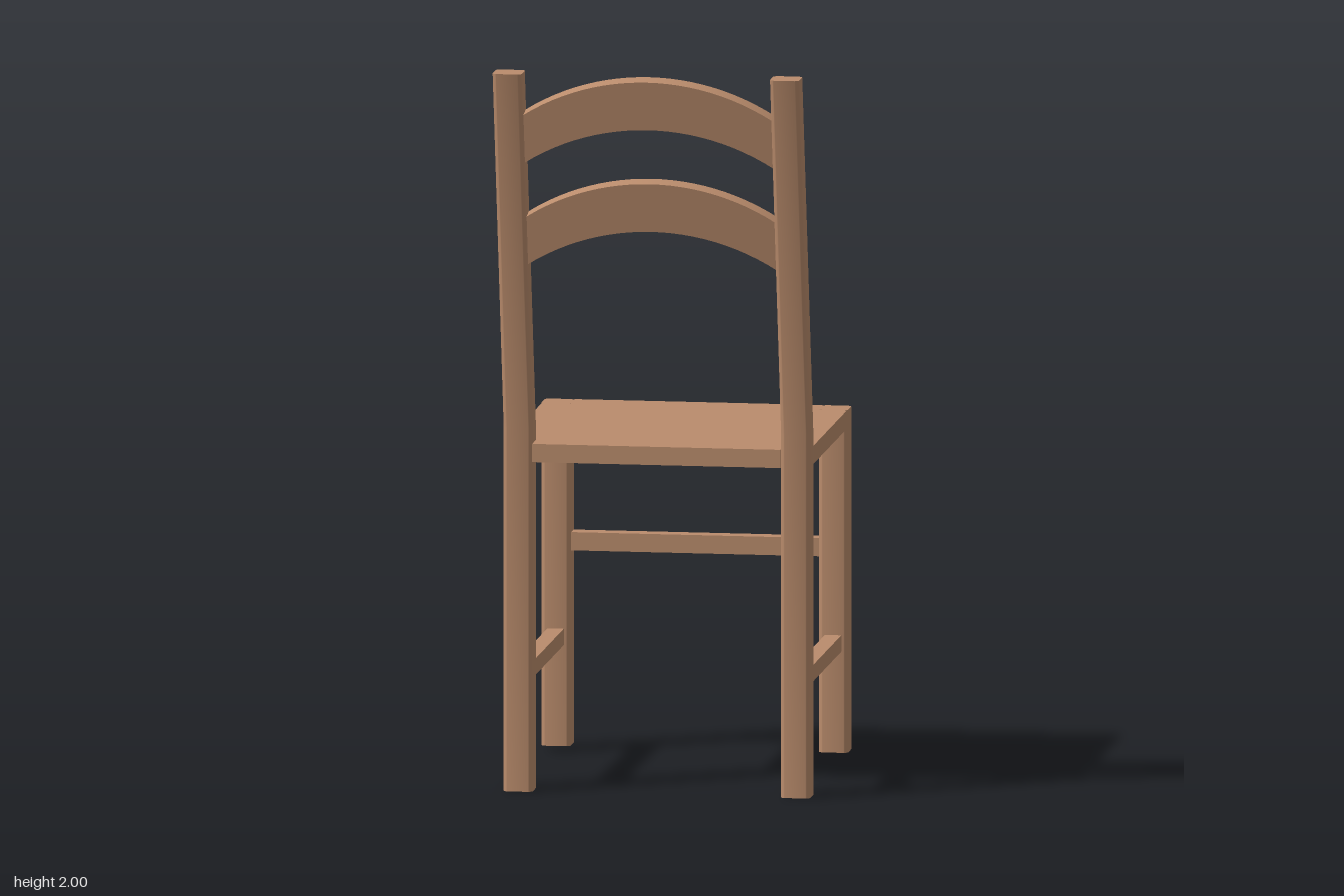
import * as THREE from 'three';
import { toCreasedNormals } from 'three/addons/utils/BufferGeometryUtils.js';

const LEAN = 0.2;      // backward slope of the back posts above the bend
const BEND_Y = 1;
const LEG_X = 0.38;
const FRONT_Z = -0.445;
const BACK_Z = 0.245;

export function createModel() {
  const chair = new THREE.Group();
  chair.name = 'chair';
  const wood = new THREE.MeshStandardMaterial({ color: 0xba8c6c });

  function add(name, geometry, x = 0, y = 0, z = 0) {
    const mesh = new THREE.Mesh(geometry, wood);
    mesh.name = name;
    mesh.position.set(x, y, z);
    chair.add(mesh);
  }

  // Move every vertex by a rule, then restore normals with sharp edges
  function reshape(geometry, rule) {
    const p = geometry.attributes.position;
    const v = new THREE.Vector3();
    for (let i = 0; i < p.count; i++) {
      rule(v.fromBufferAttribute(p, i));
      p.setXYZ(i, v.x, v.y, v.z);
    }
    return toCreasedNormals(geometry, 0.6);
  }

  // Upright post with a rounded square section
  function post(height, steps) {
    const h = 0.04, r = 0.014;
    const s = new THREE.Shape();
    s.absarc(h - r, h - r, r, 0, Math.PI / 2);
    s.absarc(r - h, h - r, r, Math.PI / 2, Math.PI);
    s.absarc(r - h, r - h, r, Math.PI, Math.PI * 1.5);
    s.absarc(h - r, r - h, r, Math.PI * 1.5, Math.PI * 2);
    s.closePath();
    const g = new THREE.ExtrudeGeometry(s, { depth: height, steps, bevelEnabled: false, curveSegments: 4 });
    return g.rotateX(-Math.PI / 2);
  }

  // Legs and side stretchers, mirrored
  const frontLeg = toCreasedNormals(post(0.94, 1), 0.6);
  const backPost = reshape(post(2, 2), (v) => { v.z += LEAN * Math.max(0, v.y - BEND_Y); });
  const sideStretcher = new THREE.BoxGeometry(0.045, 0.045, 0.62);
  for (const [side, sx] of [['left', 1], ['right', -1]]) {
    add(side + 'FrontLeg', frontLeg, sx * LEG_X, 0.015, FRONT_Z);
    add(side + 'BackPost', backPost, sx * LEG_X, 0, BACK_Z);
    add(side + 'Stretcher', sideStretcher, sx * LEG_X, 0.315, -0.1);
  }
  add('frontStretcher', new THREE.BoxGeometry(0.69, 0.05, 0.045), 0, 0.575, FRONT_Z);

  // Seat panel, notched around the four legs
  const seat = new THREE.Shape([
    [-0.34, -0.485], [0.34, -0.485], [0.34, -0.405], [0.418, -0.405],
    [0.418, 0.205], [0.34, 0.205], [0.34, 0.285], [-0.34, 0.285],
    [-0.34, 0.205], [-0.418, 0.205], [-0.418, -0.405], [-0.34, -0.405],
  ].map(([x, z]) => new THREE.Vector2(x, -z)));
  const seatGeometry = new THREE.ExtrudeGeometry(seat, { depth: 0.05, bevelEnabled: false });
  add('seat', seatGeometry.rotateX(-Math.PI / 2), 0, 0.905, 0);

  // Arched back slats, leaning with the posts
  function slat(topY) {
    const halfWidth = 0.345, rise = 0.103, height = 0.135, n = 24;
    const radius = (halfWidth ** 2 + rise ** 2) / (2 * rise);
    const upper = [], lower = [];
    for (let i = 0; i <= n; i++) {
      const x = halfWidth * (1 - 2 * i / n);
      const y = topY - radius + Math.sqrt(radius ** 2 - x ** 2);
      upper.push(new THREE.Vector2(x, y));
      lower.unshift(new THREE.Vector2(x, y - height));
    }
    const g = new THREE.ExtrudeGeometry(new THREE.Shape([...upper, ...lower]), { depth: 0.042, bevelEnabled: false });
    g.translate(0, 0, -0.021);
    return reshape(g, (v) => {
      const depth = v.z;
      v.z = BACK_Z + LEAN * (v.y - BEND_Y) + depth;
      v.y -= LEAN * depth;
    });
  }
  add('upperSlat', slat(1.987));
  add('lowerSlat', slat(1.699));

  return chair;
}
